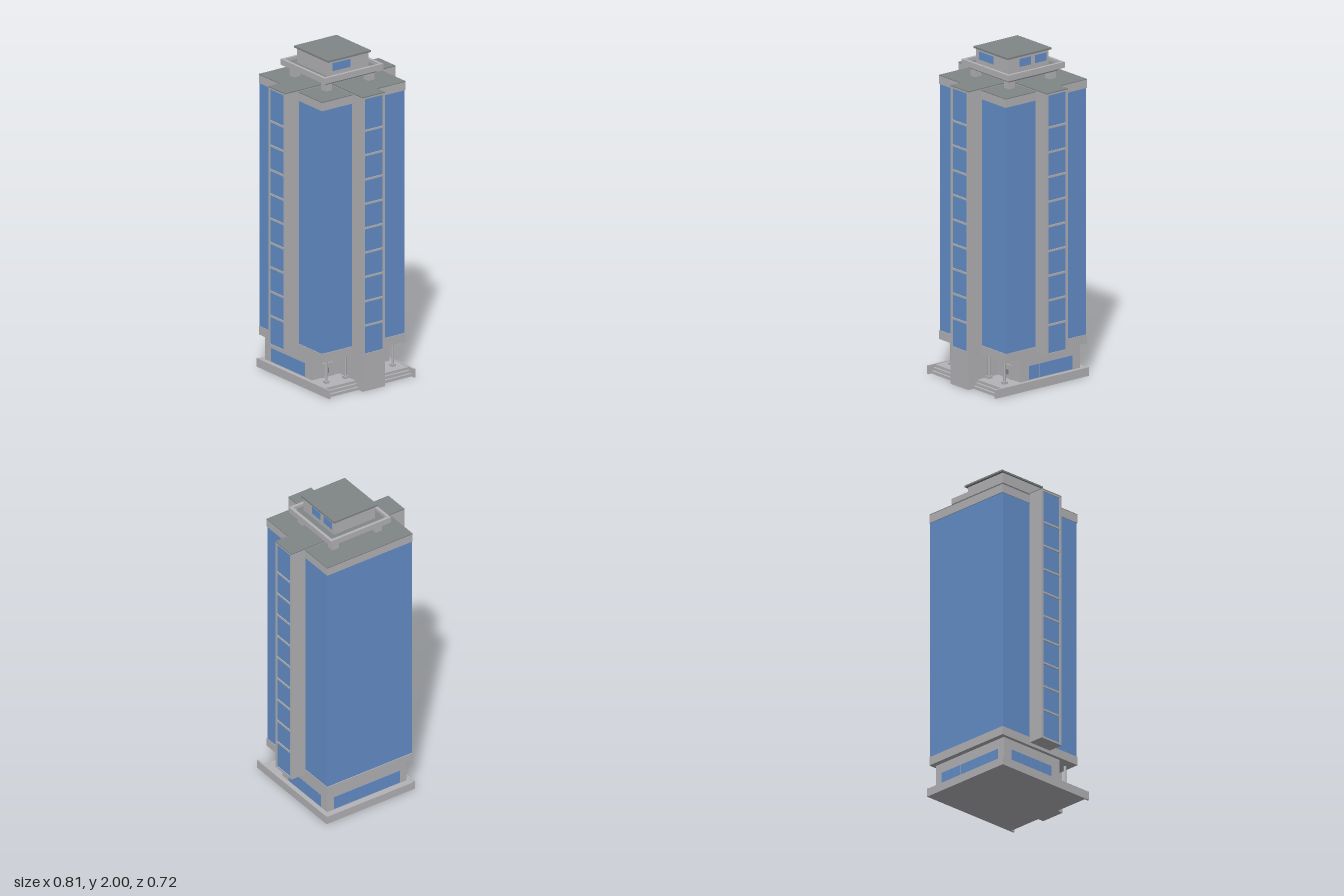
import * as THREE from 'three';

const mat = (name, color) => {
  const m = new THREE.MeshStandardMaterial({ color });
  m.name = name;
  return m;
};

export function createModel() {
  const concrete = mat('light concrete', 0xb4b4b8);
  const roofing = mat('roof grey', 0x808585);
  const glass = mat('blue glass', 0x6590cb);
  const model = new THREE.Group();
  model.name = 'officeTower';

  const group = (name) => {
    const g = new THREE.Group();
    g.name = name;
    model.add(g);
    return g;
  };
  // Box given by its limits on each axis
  const box = (parent, name, material, x0, x1, y0, y1, z0, z1) => {
    const mesh = new THREE.Mesh(new THREE.BoxGeometry(x1 - x0, y1 - y0, z1 - z0), material);
    mesh.position.set((x0 + x1) / 2, (y0 + y1) / 2, (z0 + z1) / 2);
    mesh.name = name;
    parent.add(mesh);
    return mesh;
  };
  // Square ring with an open middle
  const ring = (parent, name, outer, inner, y0, y1) => {
    for (const s of [-1, 1]) {
      const a = s < 0 ? -outer : inner, b = s < 0 ? -inner : outer;
      box(parent, name, concrete, a, b, y0, y1, -outer, outer);
      box(parent, name, concrete, -inner, inner, y0, y1, a, b);
    }
  };

  // Plinth with front steps and side kerbs
  const plinth = group('plinth');
  box(plinth, 'floor', concrete, -0.305, 0.305, 0, 0.05, -0.36, 0.29);
  box(plinth, 'upperStep', concrete, -0.305, 0.305, 0, 0.034, 0.29, 0.305);
  box(plinth, 'lowerStep', concrete, -0.305, 0.305, 0, 0.017, 0.305, 0.32);
  for (const s of [-1, 1])
    box(plinth, 'kerb', concrete, s * 0.31 - 0.005, s * 0.31 + 0.005, 0, 0.053, -0.36, 0.345);

  // Lobby
  const lobby = group('lobby');
  box(lobby, 'lobbyWalls', concrete, -0.283, 0.283, 0.05, 0.2, -0.32, 0.135);
  // Row of panes on a wall; local x runs along the wall, local z faces outwards
  const paneRow = (x0, x1, count, x, z, turn) => {
    const row = new THREE.Group();
    row.name = 'lobbyWindows';
    const w = (x1 - x0) / count;
    for (let i = 0; i < count; i++)
      box(row, 'lobbyPane', glass, x0 + i * w + 0.002, x0 + (i + 1) * w - 0.002, 0.055, 0.138, -0.002, 0.003);
    row.position.set(x, 0, z);
    row.rotation.y = turn;
    lobby.add(row);
  };
  paneRow(-0.165, 0.165, 4, 0.283, -0.095, Math.PI / 2);
  paneRow(-0.165, 0.165, 4, -0.283, -0.095, -Math.PI / 2);
  paneRow(-0.235, 0.235, 6, 0, -0.32, Math.PI);

  // Entrances and porch columns either side of the front shaft
  for (const s of [-1, 1]) {
    const cx = s * 0.172;
    const entrance = new THREE.Group();
    entrance.name = 'entrance';
    lobby.add(entrance);
    for (const d of [-1, 1]) {
      const lx = cx + d * 0.0175;
      box(entrance, 'doorLeaf', concrete, lx - 0.0165, lx + 0.0165, 0.05, 0.13, 0.134, 0.139);
      const hx = cx + d * 0.006;
      box(entrance, 'doorHandle', roofing, hx - 0.002, hx + 0.002, 0.075, 0.105, 0.139, 0.145);
      box(entrance, 'doorPost', concrete, cx + d * 0.037 - 0.003, cx + d * 0.037 + 0.003, 0.05, 0.137, 0.134, 0.143);
    }
    box(entrance, 'doorHead', concrete, cx - 0.04, cx + 0.04, 0.13, 0.137, 0.134, 0.143);
    for (const x of [0.102, 0.243]) {
      const px = s * x;
      const column = new THREE.Mesh(new THREE.CylinderGeometry(0.008, 0.008, 0.15, 12), concrete);
      column.name = 'porchColumn';
      column.position.set(px, 0.125, 0.22);
      lobby.add(column);
      box(lobby, 'columnFoot', concrete, px - 0.014, px + 0.014, 0.05, 0.065, 0.206, 0.234);
    }
  }

  // Main tower
  const tower = group('tower');
  box(tower, 'glassBody', glass, -0.302, 0.302, 0.25, 1.77, -0.347, 0.257);
  box(tower, 'lowerBand', concrete, -0.305, 0.305, 0.2, 0.253, -0.352, 0.262);
  box(tower, 'upperBand', concrete, -0.305, 0.305, 1.76, 1.811, -0.352, 0.262);
  box(tower, 'roofDeck', roofing, -0.305, 0.305, 1.811, 1.816, -0.352, 0.262);

  // Projecting shafts: local z points outwards
  const shaft = (name, length, bottom, x, z, turn) => {
    const g = group(name);
    const top = 1.82;
    box(g, 'shaftCore', concrete, -0.081, 0.081, bottom, top, 0, length - 0.008);
    box(g, 'shaftGlass', glass, -0.066, 0.066, 0.232, 1.81, length - 0.01, length - 0.005);
    for (const s of [-1, 1])
      box(g, 'shaftSideFrame', concrete, s * 0.0735 - 0.0075, s * 0.0735 + 0.0075, bottom, top, length - 0.008, length);
    box(g, 'shaftSill', concrete, -0.066, 0.066, bottom, 0.232, length - 0.008, length);
    box(g, 'shaftHead', concrete, -0.066, 0.066, 1.81, top, length - 0.008, length);
    for (let i = 0; i < 9; i++) {
      const y = 0.405 + i * 0.151;
      box(g, 'shaftMullion', concrete, -0.066, 0.066, y - 0.006, y + 0.006, length - 0.008, length);
    }
    box(g, 'shaftRoof', roofing, -0.081, 0.081, top, top + 0.006, 0, length);
    g.position.set(x, 0, z);
    g.rotation.y = turn;
  };
  shaft('frontShaft', 0.36, 0, 0, 0, 0);
  shaft('leftShaft', 0.403, 0.22, 0, -0.047, Math.PI / 2);
  shaft('rightShaft', 0.403, 0.22, 0, -0.047, -Math.PI / 2);

  // Raised platform on four legs
  const platform = group('platform');
  platform.position.z = -0.047;
  for (const sx of [-1, 1]) for (const sz of [-1, 1]) {
    const x = sx * 0.154, z = sz * 0.154;
    box(platform, 'platformLeg', concrete, x - 0.023, x + 0.023, 1.812, 1.862, z - 0.023, z + 0.023);
    const cx = sx * 0.188, cz = sz * 0.188;
    box(platform, 'cornerBlock', concrete, cx - 0.007, cx + 0.007, 1.895, 1.904, cz - 0.007, cz + 0.007);
  }
  const soffitGeo = new THREE.CylinderGeometry(0.2 * Math.SQRT2, 0.18 * Math.SQRT2, 0.02, 4, 1);
  soffitGeo.rotateY(Math.PI / 4);
  const soffit = new THREE.Mesh(soffitGeo.toNonIndexed(), concrete);
  soffit.geometry.computeVertexNormals();
  soffit.position.y = 1.87;
  soffit.name = 'taperedSoffit';
  platform.add(soffit);
  box(platform, 'platformSlab', concrete, -0.214, 0.214, 1.88, 1.893, -0.214, 0.214);
  box(platform, 'platformFloor', roofing, -0.196, 0.196, 1.893, 1.897, -0.196, 0.196);
  ring(platform, 'parapet', 0.214, 0.196, 1.893, 1.916);

  // Rooftop room
  const room = group('rooftopRoom');
  box(room, 'roomWalls', concrete, -0.146, 0.146, 1.89, 1.99, -0.193, 0.113);
  box(room, 'roomRoof', roofing, -0.156, 0.156, 1.989, 2.0, -0.209, 0.125);
  box(room, 'frontWindow', glass, -0.115, 0.013, 1.926, 1.975, 0.111, 0.116);
  box(room, 'sideWindow', glass, 0.144, 0.149, 1.926, 1.975, -0.058, 0.026);
  box(room, 'sideWindow', glass, 0.144, 0.149, 1.926, 1.975, -0.174, -0.09);

  return model;
}
